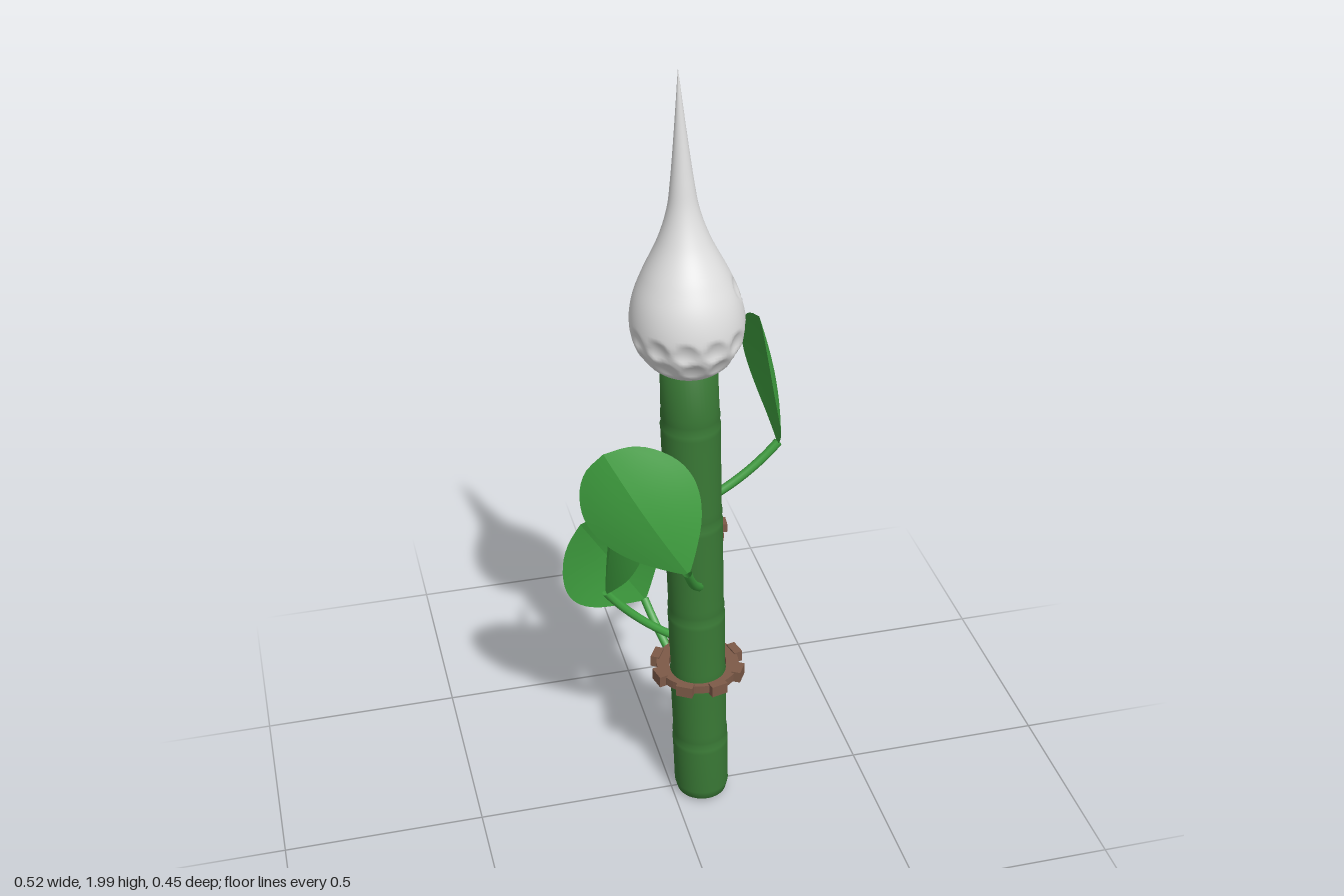
import * as THREE from 'three';
import { mergeVertices } from 'three/addons/utils/BufferGeometryUtils.js';

const V = (x, y, z) => new THREE.Vector3(x, y, z);

// lean of the stem: centre line at height y
const axisX = (y) => 0.077 - 0.037 * y;
const axisZ = (y) => 0.02 + 0.0235 * Math.min(y, 1.4);

// moves every vertex by a rule, then smooths the result
function deform(geo, rule) {
  geo.deleteAttribute('uv');
  geo.deleteAttribute('normal');
  geo = mergeVertices(geo, 1e-5);
  const p = geo.attributes.position, v = V(0, 0, 0);
  for (let i = 0; i < p.count; i++) {
    rule(v.fromBufferAttribute(p, i));
    p.setXYZ(i, v.x, v.y, v.z);
  }
  geo.computeVertexNormals();
  return geo;
}
const lean = (v) => { v.x += axisX(v.y); v.z += axisZ(v.y); };

// stem with rounded foot and shallow nodes
function stemGeometry() {
  const pts = [[0, 0.008], [0.05, 0.01], [0.063, 0.02], [0.069, 0.045]];
  for (const y of [0.2, 0.4, 0.6, 0.88, 1.15]) {
    pts.push([0.07, y - 0.025], [0.071, y - 0.012], [0.066, y], [0.07, y + 0.012], [0.068, y + 0.03]);
  }
  pts.push([0.066, 1.32], [0, 1.32]);
  return deform(new THREE.LatheGeometry(pts.map(([r, y]) => new THREE.Vector2(r, y)), 40), lean);
}

// drop-shaped bud with dimples on its lower part, reaching higher at the back left
function budGeometry() {
  const key = [[0, 1.282], [0.045, 1.284], [0.078, 1.298], [0.112, 1.335], [0.129, 1.385], [0.13, 1.425],
    [0.12, 1.475], [0.098, 1.53], [0.06, 1.61], [0.037, 1.68], [0.026, 1.75], [0.013, 1.87], [0.0005, 2]];
  const curve = new THREE.SplineCurve(key.map(([r, y]) => new THREE.Vector2(r, y)));
  const pts = curve.getSpacedPoints(110);
  pts.forEach((p) => { p.x = Math.max(p.x, 0); });
  const dimples = [];
  [[1.335, 0.112, 11], [1.388, 0.129, 12], [1.442, 0.128, 12], [1.492, 0.114, 12]].forEach(([y, r, n], row) => {
    for (let i = 0; i < n; i++) {
      const a = ((i + (row % 2) / 2) / n) * Math.PI * 2;
      if (row < 2 || Math.cos(a) - Math.sin(a) > 0.4) dimples.push(V(Math.cos(a) * r, y, Math.sin(a) * r));
    }
  });
  return deform(new THREE.LatheGeometry(pts, 96), (v) => {
    for (const d of dimples) {
      const t = v.distanceTo(d) / 0.029;
      if (t < 1) {
        const k = 1 - 0.08 * (1 - t * t);
        v.x *= k;
        v.z *= k;
      }
    }
    lean(v);
  });
}

// rounded leaf, folded along the midrib; each half keeps its own normals
function leafGeometry(base, tip, out) {
  const up = tip.clone().sub(base);
  const side = up.clone().cross(out).normalize();
  const normal = side.clone().cross(up).normalize();
  const halfWidth = new THREE.SplineCurve([[0, 0.008], [0.1, 0.045], [0.25, 0.093], [0.4, 0.124], [0.55, 0.137],
    [0.7, 0.13], [0.85, 0.1], [0.95, 0.058], [1, 0]].map(([v, w]) => new THREE.Vector2(v, w)));
  const rows = 24, cols = 5, pos = [], idx = [];
  for (const s of [-1, 1]) {
    const start = pos.length / 3;
    for (let i = 0; i <= rows; i++) {
      const q = halfWidth.getPoint(i / rows);
      for (let j = 0; j <= cols; j++) {
        const w = (q.y * j) / cols;
        const bend = 0.016 * Math.sin(Math.PI * q.x) - 0.14 * w - 0.9 * w * w;
        const p = base.clone().addScaledVector(up, q.x).addScaledVector(side, s * w).addScaledVector(normal, bend);
        pos.push(p.x, p.y, p.z);
        if (i < rows && j < cols) {
          const a = start + i * (cols + 1) + j, b = a + 1, c = a + cols + 1, d = c + 1;
          if (s > 0) idx.push(a, c, b, b, c, d);
          else idx.push(a, b, c, b, d, c);
        }
      }
    }
  }
  const geo = new THREE.BufferGeometry();
  geo.setAttribute('position', new THREE.Float32BufferAttribute(pos, 3));
  geo.setIndex(idx);
  geo.computeVertexNormals();
  return geo;
}

// toothed ring lying flat
function gear(name, mat, x, y, z, scale, turn) {
  const g = new THREE.Group();
  g.name = name;
  const shape = new THREE.Shape().absarc(0, 0, 0.103, 0, Math.PI * 2);
  shape.holes.push(new THREE.Path().absarc(0, 0, 0.072, 0, Math.PI * 2, true));
  const geo = new THREE.ExtrudeGeometry(shape, { depth: 0.022, bevelEnabled: false, curveSegments: 32 });
  geo.translate(0, 0, -0.011).rotateX(-Math.PI / 2);
  const ring = new THREE.Mesh(geo, mat);
  ring.name = 'gearRing';
  g.add(ring);
  for (let i = 0; i < 8; i++) {
    const a = turn + (i * Math.PI) / 4;
    const tooth = new THREE.Mesh(new THREE.BoxGeometry(0.022, 0.03, 0.042), mat);
    tooth.name = 'gearTooth';
    tooth.position.set(Math.cos(a) * 0.106, 0, Math.sin(a) * 0.106);
    tooth.rotation.y = -a;
    g.add(tooth);
  }
  g.position.set(x, y, z);
  g.scale.setScalar(scale);
  return g;
}

export function createModel() {
  const material = (name, color, side = THREE.FrontSide) => {
    const m = new THREE.MeshStandardMaterial({ color, side });
    m.name = name;
    return m;
  };
  const stemGreen = material('stem green', 0x3a7a36);
  const leafGreen = material('leaf green', 0x3f9f3f, THREE.DoubleSide);
  const budWhite = material('bud white', 0xe2e2e2);
  const gearBrown = material('gear brown', 0x7d5a48);

  const model = new THREE.Group();
  model.name = 'plant';
  const add = (name, geo, mat, parent = model) => {
    const mesh = new THREE.Mesh(geo, mat);
    mesh.name = name;
    parent.add(mesh);
  };

  add('stem', stemGeometry(), stemGreen);
  add('bud', budGeometry(), budWhite);
  model.add(gear('lowerGear', gearBrown, 0.066, 0.402, 0.009, 1, -0.24));
  model.add(gear('upperGear', gearBrown, 0.053, 0.802, -0.018, 0.75, 0.1));

  // leaves: stalk root, leaf base, leaf tip, outward direction
  const leaves = [
    ['leftLeaf', V(0.08, 0.885, 0), V(0.262, 1.025, 0), V(0.208, 1.368, 0), V(1, 0, 0)],
    ['frontLeaf', V(0.055, 0.695, 0.08), V(-0.015, 0.84, 0.218), V(-0.19, 1.14, 0.135), V(-0.22, 0, 1)],
    ['backLeaf', V(0.06, 0.295, -0.03), V(-0.018, 0.465, -0.213), V(-0.2, 0.79, -0.112), V(-0.25, 0, -1)],
    ['rightLeaf', V(0.01, 0.495, 0), V(-0.163, 0.66, 0), V(-0.085, 1.02, 0), V(-1, 0, 0)],
  ];
  for (const [name, root, base, tip, out] of leaves) {
    const g = new THREE.Group();
    g.name = name;
    const mid = root.clone().lerp(base, 0.6);
    mid.y -= 0.03;
    const path = new THREE.QuadraticBezierCurve3(root, mid, base);
    add('leafStalk', new THREE.TubeGeometry(path, 14, 0.011, 8), leafGreen, g);
    add('leafBlade', leafGeometry(base, tip, out), leafGreen, g);
    model.add(g);
  }
  return model;
}
